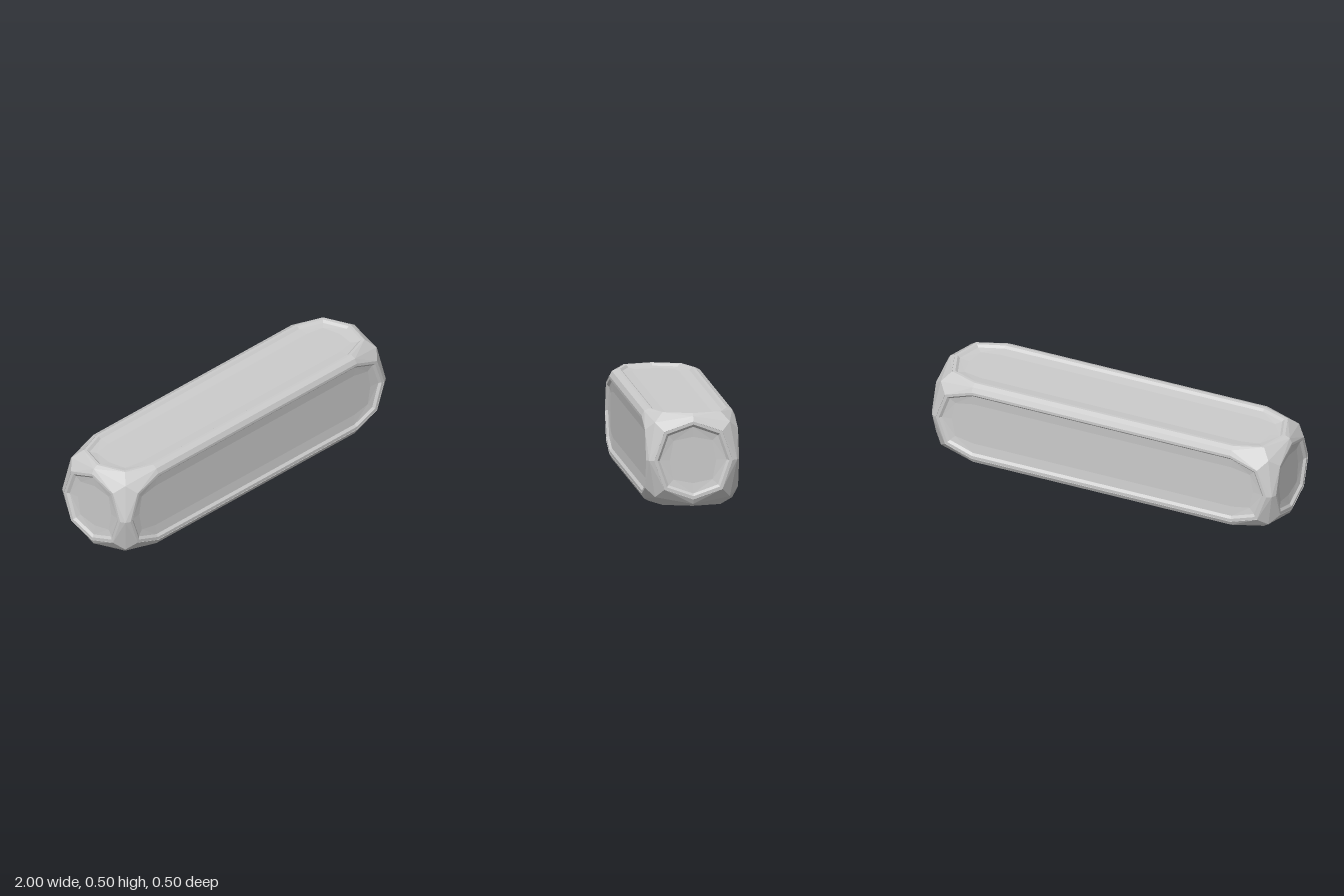
import * as THREE from 'three';

const H = 0.2485;        // half thickness of the bar
const STRETCH = 0.7515;  // how far each end is pulled out along x

// Rings of a face: [axis distance, axis height, diagonal distance, diagonal height]
const BEVEL = [
  [0.235, 0.235, 0.2, 0.2],
  [0.209, H, 0.155, H],
];
const PANEL = [
  [0.209, H, 0.155, H],
  [0.2085, H - 0.002, 0.1545, H - 0.002],
  [0.192, H - 0.002, 0.142, H - 0.002],
  [0.179, H - 0.014, 0.132, H - 0.014],
  [0.124, H - 0.02, 0.104, H - 0.02],
];

// Twelve points of one ring, three per quadrant, pulled towards the ends
function ringPoints([a, ah, d, dh], u, v, n) {
  const points = [];
  for (let q = 0; q < 4; q++) {
    const c = Math.round(Math.cos(q * Math.PI / 2));
    const s = Math.round(Math.sin(q * Math.PI / 2));
    const place = (x, y, h) => new THREE.Vector3()
      .addScaledVector(u, x * c - y * s)
      .addScaledVector(v, x * s + y * c)
      .addScaledVector(n, h);
    const shift = Math.sign(place(1, 1, 1).x) * STRETCH;
    for (const p of [place(a, 0, ah), place(d, d, dh), place(0, a, ah)]) {
      p.x += shift;
      p.y += H;
      points.push(p);
    }
  }
  return points;
}

// Joins successive rings, optionally closing the innermost one
function faceGeometry(profile, u, v, n, closed) {
  const positions = [];
  const tri = (a, b, c) => {
    if (new THREE.Triangle(a, b, c).getArea() < 1e-8) return;
    for (const p of [a, b, c]) positions.push(p.x, p.y, p.z);
  };
  const rings = profile.map((r) => ringPoints(r, u, v, n));
  for (let k = 0; k + 1 < rings.length; k++) {
    const outer = rings[k], inner = rings[k + 1];
    for (let i = 0; i < 12; i++) {
      const j = (i + 1) % 12;
      if (i % 3 === 1) {
        tri(outer[i], outer[j], inner[i]);
        tri(outer[j], inner[j], inner[i]);
      } else {
        tri(outer[i], outer[j], inner[j]);
        tri(outer[i], inner[j], inner[i]);
      }
    }
  }
  if (closed) {
    const last = rings[rings.length - 1];
    const centre = new THREE.Vector3();
    last.forEach((p) => centre.addScaledVector(p, 1 / 12));
    last.forEach((p, i) => tri(p, last[(i + 1) % 12], centre));
  }
  const geometry = new THREE.BufferGeometry();
  geometry.setAttribute('position', new THREE.Float32BufferAttribute(positions, 3));
  geometry.computeVertexNormals();
  return geometry;
}

export function createModel() {
  const group = new THREE.Group();
  group.name = 'beveledBar';
  const material = new THREE.MeshStandardMaterial({ color: 0xcccccc, flatShading: true });
  const axes = [[1, 0, 0], [0, 1, 0], [0, 0, 1]].map((a) => new THREE.Vector3(...a));
  const names = [['left', 'right'], ['top', 'bottom'], ['front', 'back']];

  // Each of the six sides: faceted bevel frame and recessed panel
  for (let k = 0; k < 3; k++) {
    [1, -1].forEach((sign, side) => {
      const n = axes[k].clone().multiplyScalar(sign);
      const u = axes[(k + 1) % 3];
      const v = axes[(k + 2) % 3].clone().multiplyScalar(sign);
      const bevel = new THREE.Mesh(faceGeometry(BEVEL, u, v, n, false), material);
      bevel.name = names[k][side] + 'Bevel';
      const panel = new THREE.Mesh(faceGeometry(PANEL, u, v, n, true), material);
      panel.name = names[k][side] + 'Panel';
      group.add(bevel, panel);
    });
  }
  return group;
}
